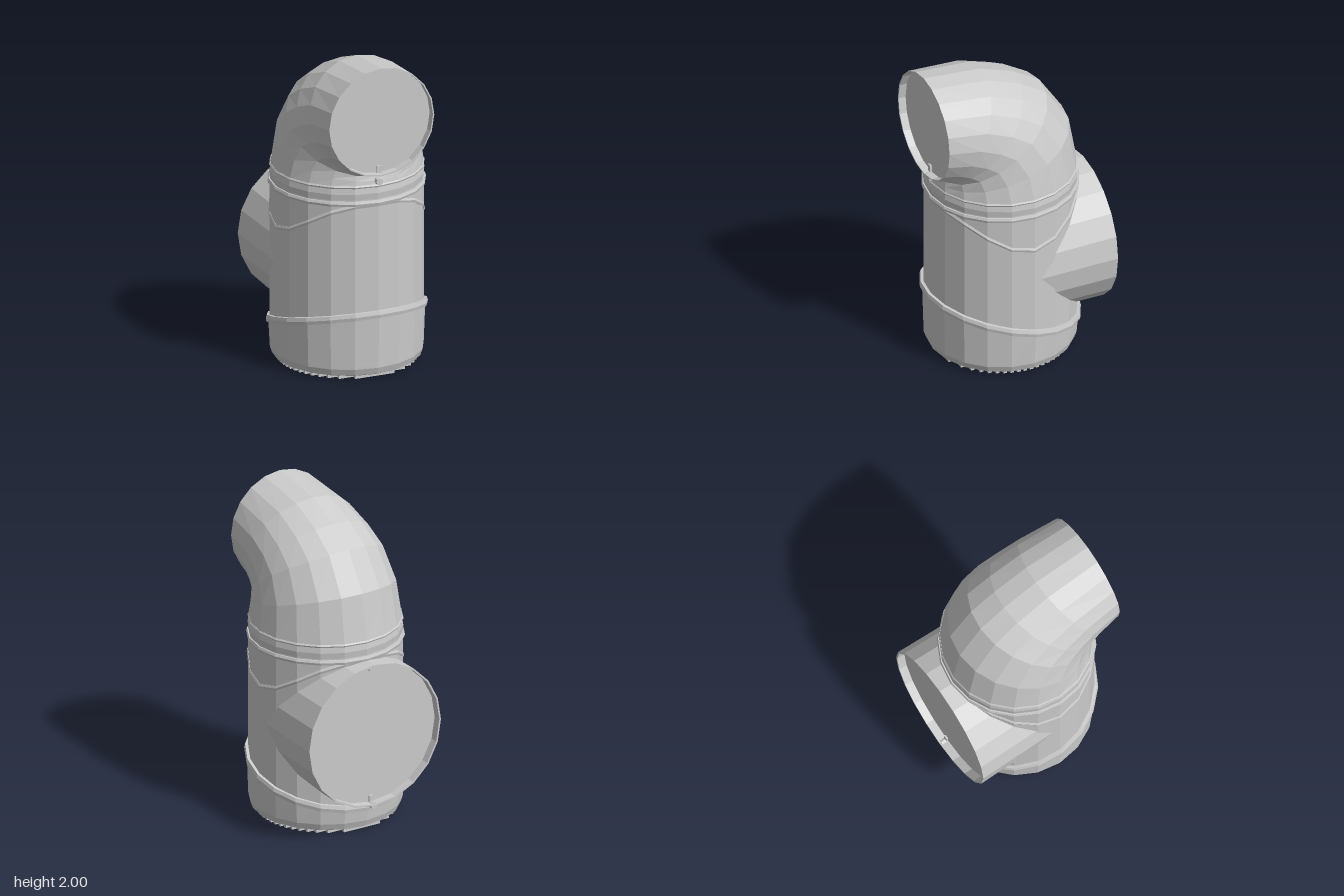
import * as THREE from 'three';

const SIDES = 20;
const R = 0.465;      // main pipe radius
const CZ = 0.022;     // main pipe axis, z offset
const material = new THREE.MeshStandardMaterial({ color: 0xcccccc, flatShading: true, side: THREE.DoubleSide });

function add(parent, name, geometry, x = 0, y = 0, z = 0) {
  const mesh = new THREE.Mesh(geometry, material);
  mesh.name = name;
  mesh.position.set(x, y, z);
  parent.add(mesh);
  return mesh;
}

// Skin a list of closed rings, counter-clockwise as seen from the last ring
function loft(rings) {
  const pos = [], index = [];
  rings.forEach((ring) => ring.forEach((p) => pos.push(p.x, p.y, p.z)));
  for (let i = 0; i < rings.length - 1; i++) {
    for (let j = 0; j < SIDES; j++) {
      const k = (j + 1) % SIDES;
      const a = i * SIDES + j, b = i * SIDES + k;
      const c = b + SIDES, d = a + SIDES;
      index.push(a, b, c, a, c, d);
    }
  }
  const g = new THREE.BufferGeometry();
  g.setAttribute('position', new THREE.Float32BufferAttribute(pos, 3));
  g.setIndex(index);
  g.computeVertexNormals();
  return g;
}

const ringOf = (fn) => Array.from({ length: SIDES }, (_, j) => fn((j / SIDES) * Math.PI * 2));

// Ring around the main pipe axis; its height follows yAt(angle)
const around = (r, yAt) => ringOf((a) => new THREE.Vector3(r * Math.sin(a), yAt(a), CZ + r * Math.cos(a)));

// Elliptical ring spanning two points [z, y] with half width w in x
function section([z0, y0], [z1, y1], w, scale = 1) {
  return ringOf((a) => {
    const c = Math.cos(a) * 0.5 * scale;
    return new THREE.Vector3(
      Math.sin(a) * w * scale,
      (y0 + y1) / 2 + (y0 - y1) * c,
      (z0 + z1) / 2 + (z0 - z1) * c,
    );
  });
}

// Raised ridge around the main pipe
function ridge(yAt, outer, height) {
  const profile = [[R - 0.02, -0.5], [outer - 0.004, -0.5], [outer, 0], [outer - 0.006, 0.5], [R - 0.02, 0.5]];
  return loft(profile.map(([r, t]) => around(r, (a) => yAt(a) + t * height)));
}

// Thin rim and recessed cover closing an open pipe end
function cover(z, inset, yA, yB, w) {
  return [
    section([z, yA], [z, yB], w, 0.975),
    section([z - inset, yA], [z - inset, yB], w, 0.975),
    section([z - inset, yA], [z - inset, yB], w, 0),
  ];
}

export function createModel() {
  const model = new THREE.Group();
  model.name = 'pipeJunction';

  // Rounded base, cut off at a slant under the tilted ridge
  const tilt = (a) => 0.29 + 0.127 * Math.cos(a);
  const base = [[0, 0.02], [0.43, 0.02], [0.45, 0.03], [0.464, 0.07]];
  add(model, 'base', loft([...base.map(([r, y]) => around(r, () => y)), around(0.474, tilt)]));

  // Main pipe with its closed top
  const pipe = [[R, 0.1], [R, 1.12], [0.461, 1.24], [0, 1.24]];
  add(model, 'mainPipe', loft(pipe.map(([r, y]) => around(r, () => y))));

  // Ridges: tilted above the base, saddle-shaped near the top, level ones at the collar
  add(model, 'tiltedRidge', ridge(tilt, 0.489, 0.044));
  add(model, 'saddleRidge', ridge((a) => 1.12 - 0.235 * Math.abs(Math.sin(a)) ** 3, 0.473, 0.028));
  add(model, 'collarLower', ridge(() => 1.13, 0.478, 0.03));
  add(model, 'collarBand', ridge(() => 1.19, 0.468, 0.075));
  add(model, 'collarUpper', ridge(() => 1.235, 0.469, 0.018));

  // Elbow bending from the main pipe to the front opening
  const bend = [
    [[0.487, 1.235], [-0.441, 1.235], 0.463],
    [[0.48, 1.265], [-0.39, 1.53], 0.438],
    [[0.47, 1.292], [-0.24, 1.76], 0.412],
    [[0.485, 1.30], [-0.07, 1.87], 0.392],
    [[0.505, 1.305], [0.16, 1.96], 0.372],
    [[0.535, 1.31], [0.535, 2.0], 0.345],
  ].map((s) => section(...s));
  add(model, 'elbow', loft([...bend, ...cover(0.535, 0.048, 1.31, 2.0, 0.345)]));

  // Wide side branch opening to the back
  add(model, 'backBranch', loft([
    section([0, 1.11], [0, 0.205], 0.457),
    section([-0.535, 1.12], [-0.535, 0.195], 0.467),
    ...cover(-0.535, -0.052, 1.12, 0.195, 0.467),
  ]));

  // Small latches: a knob outside each opening, tabs on the recessed covers
  const knob = new THREE.CylinderGeometry(0.022, 0.022, 0.04, 8).rotateX(Math.PI / 2);
  add(model, 'frontKnob', knob, 0, 1.265, 0.487);
  add(model, 'backKnob', knob, 0, 0.195, -0.505);
  const tab = new THREE.BoxGeometry(0.028, 0.045, 0.018);
  add(model, 'frontTab', tab, 0, 1.343, 0.49);
  add(model, 'backTabLower', tab, 0, 0.228, -0.486);
  add(model, 'backTabUpper', tab, 0, 1.087, -0.486);

  // Underside: grip ribs around a plain centre, with four studs
  const tread = new THREE.Group();
  tread.name = 'tread';
  tread.position.z = CZ;
  model.add(tread);
  const patch = 0.25, reach = 0.42;
  for (let i = -10; i <= 10; i++) {
    const z = i * 0.04;
    const outer = Math.sqrt(reach * reach - z * z);
    if (Math.abs(z) >= patch) {
      add(tread, 'rib', new THREE.BoxGeometry(outer * 2, 0.022, 0.022), 0, 0.011, z);
      continue;
    }
    const inner = Math.sqrt(patch * patch - z * z);
    for (const s of [-1, 1]) {
      add(tread, 'rib', new THREE.BoxGeometry(outer - inner, 0.022, 0.022), s * (outer + inner) / 2, 0.011, z);
    }
  }
  for (let i = 0; i < 4; i++) {
    const a = (i * Math.PI) / 2;
    add(tread, 'stud', new THREE.CylinderGeometry(0.036, 0.036, 0.022, 8), 0.37 * Math.sin(a), 0.0115, 0.37 * Math.cos(a));
  }
  return model;
}
